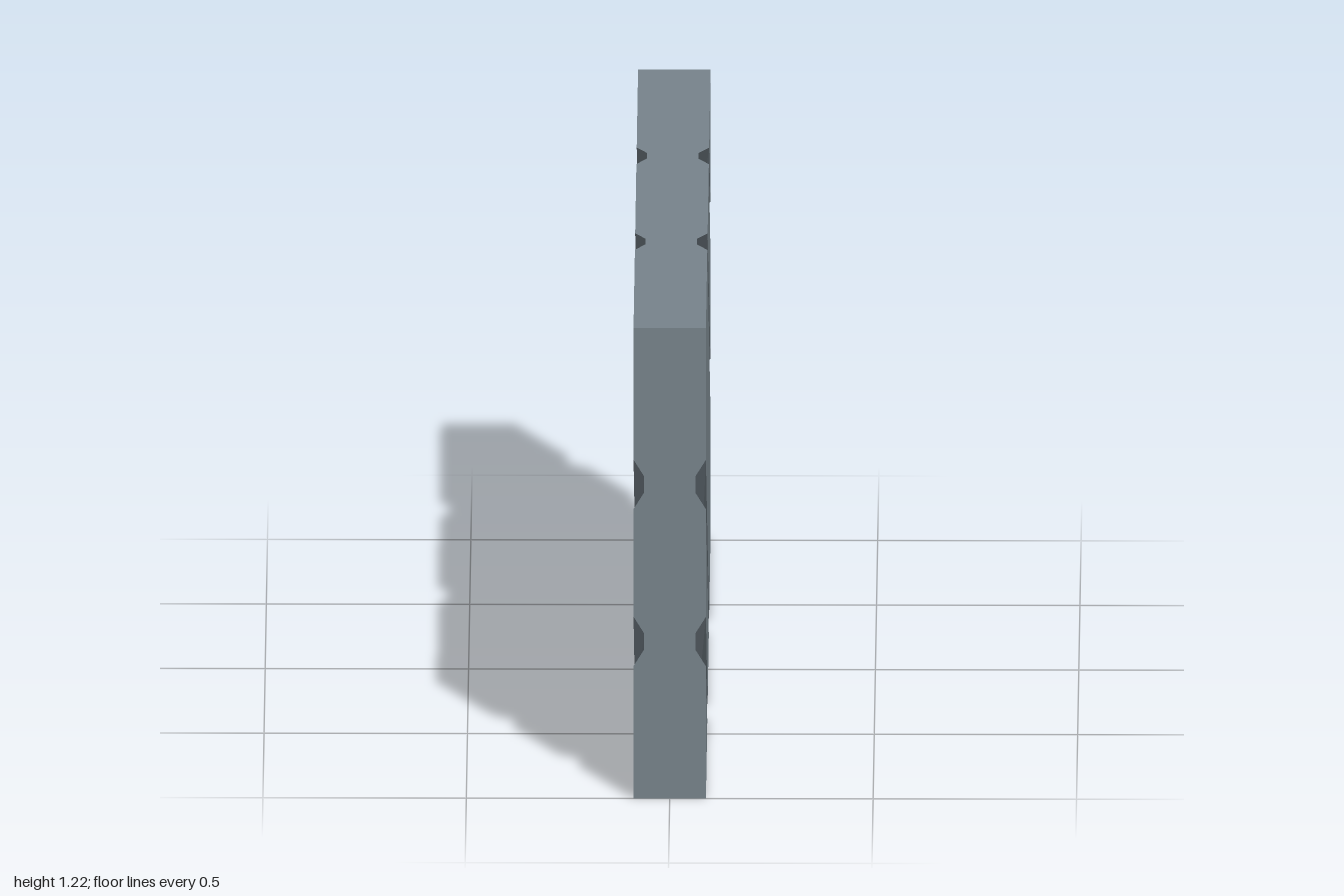
import * as THREE from 'three';

const H = 1.22;        // panel height
const FACE = 0.089;    // half thickness
const FLOOR = 0.063;   // half thickness at the groove floors

// Groove cross-section: offset across the groove, and half thickness there
const PROFILE = [[0.064, FACE], [0.021, FLOOR], [-0.021, FLOOR], [-0.064, FACE]];

// Each row is a diagonal line over the panel, p = upper end and q = lower end, as [y, z]
function diagonalRows() {
  const rows = [{ p: [H, -1], q: [H, -1], x: FACE }];
  for (const [y, z] of [[0.814, -0.332], [0.407, 0.332]]) {
    for (const [d, x] of PROFILE) rows.push({ p: [H, z - d], q: [y + d, -1], x });
  }
  rows.push({ p: [H, 1], q: [0, -1], x: FACE });
  for (const [y, z] of [[0.814, -0.332], [0.407, 0.332]]) {
    for (const [d, x] of PROFILE) rows.push({ p: [y + d, 1], q: [0, z - d], x });
  }
  rows.push({ p: [0, 1], q: [0, 1], x: FACE });
  return rows;
}

// Flat-sided geometry from a list of four-cornered faces
function fromQuads(quads) {
  const positions = [];
  for (const [a, b, c, d] of quads) {
    for (const tri of [[a, b, c], [a, c, d]]) {
      const t = new THREE.Triangle(...tri.map((v) => new THREE.Vector3(...v)));
      if (t.getArea() > 1e-7) positions.push(...tri.flat());
    }
  }
  const geometry = new THREE.BufferGeometry();
  geometry.setAttribute('position', new THREE.Float32BufferAttribute(positions, 3));
  geometry.computeVertexNormals();
  return geometry;
}

export function createModel() {
  const group = new THREE.Group();
  group.name = 'groovedPanel';
  const slate = new THREE.MeshStandardMaterial({ color: 0x77838b });
  slate.name = 'slateGrey';

  const faces = [], grooves = [], rim = [];
  const rows = diagonalRows();
  const at = (x, [y, z]) => [x, y, z];

  for (let i = 0; i < rows.length - 1; i++) {
    const a = rows[i], b = rows[i + 1];
    // Strip between two diagonals, on both broad sides
    const strip = a.x === FACE && b.x === FACE ? faces : grooves;
    strip.push([at(a.x, a.p), at(b.x, b.p), at(b.x, b.q), at(a.x, a.q)]);
    strip.push([at(-a.x, a.q), at(-b.x, b.q), at(-b.x, b.p), at(-a.x, a.p)]);
    // Narrow rim joining the two sides
    rim.push([at(a.x, a.p), at(-a.x, a.p), at(-b.x, b.p), at(b.x, b.p)]);
    rim.push([at(b.x, b.q), at(-b.x, b.q), at(-a.x, a.q), at(a.x, a.q)]);
  }

  for (const [name, quads] of Object.entries({ broadFaces: faces, diagonalGrooves: grooves, rim })) {
    const mesh = new THREE.Mesh(fromQuads(quads), slate);
    mesh.name = name;
    group.add(mesh);
  }
  return group;
}
